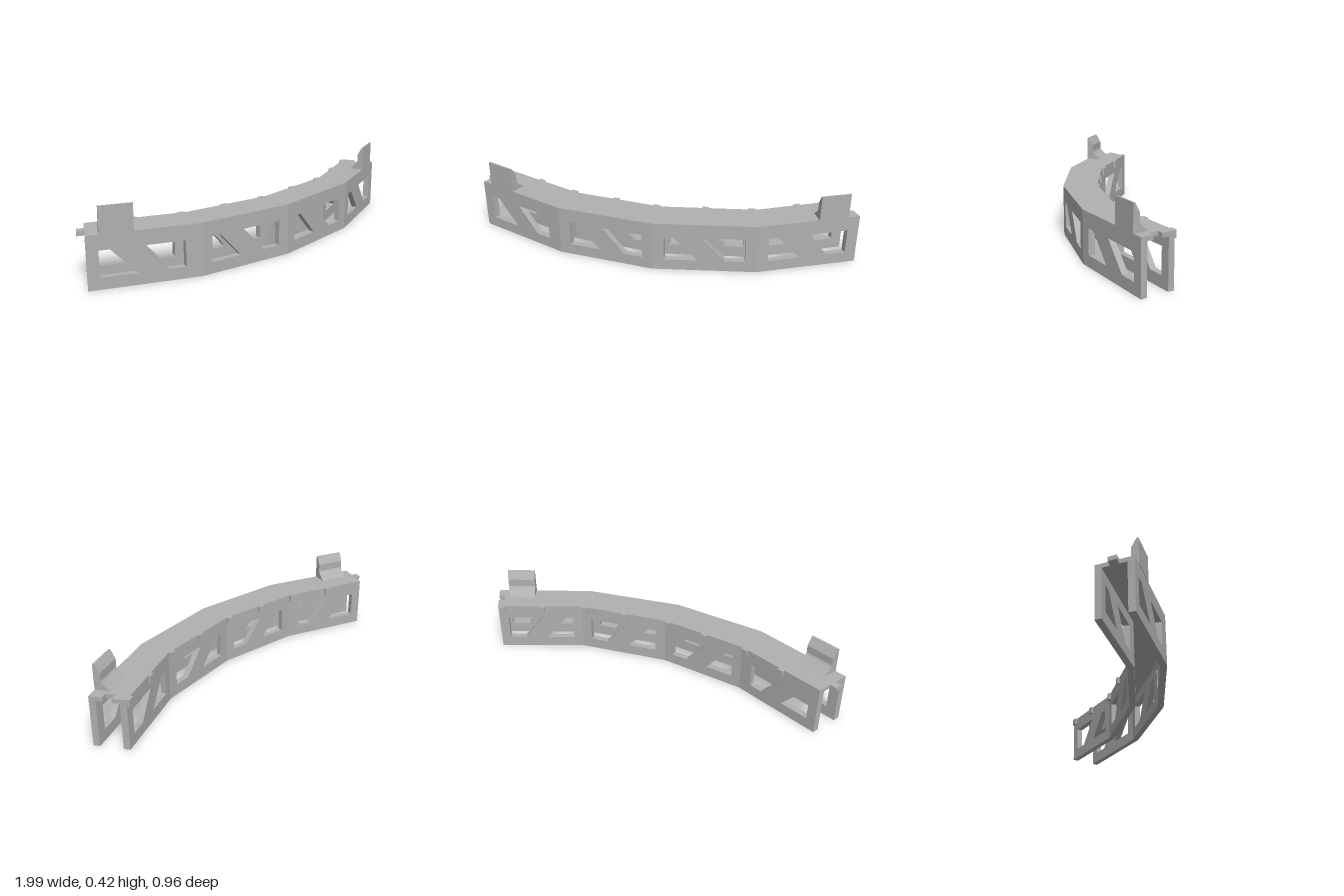
import * as THREE from 'three';

// Plan nodes [x, z] of the outer and inner edges of the curved span
const OUTER = [[-0.97, 0.482], [-0.40, 0.478], [0.12, 0.33], [0.60, 0.045], [0.993, -0.36]];
const INNER = [[-0.95, 0.287], [-0.43, 0.282], [0.05, 0.152], [0.50, -0.11], [0.84, -0.473]];
const SEGMENTS = 4;
const TOP = 0.285, DECK_BOTTOM = 0.262, WALL = 0.18;

const mix = (a, b, t) => a + (b - a) * t;

// Bends a geometry with x = fraction along a segment, z = fraction from inner to outer edge
function bend(geometry, seg) {
  const g = geometry.index ? geometry.toNonIndexed() : geometry;
  const p = g.attributes.position;
  for (let i = 0; i < p.count; i++) {
    const s = p.getX(i), t = p.getZ(i);
    const at = k => mix(
      mix(INNER[seg][k], INNER[seg + 1][k], s),
      mix(OUTER[seg][k], OUTER[seg + 1][k], s), t);
    p.setXYZ(i, at(0), p.getY(i), at(1));
  }
  g.computeVertexNormals();
  return g;
}

const polygon = (points, Type = THREE.Shape) => new Type(points.map(q => new THREE.Vector2(q[0], q[1])));

// Block between fractions along (s), heights (y) and fractions across (t)
function block(seg, s0, s1, y0, y1, t0, t1) {
  const g = new THREE.BoxGeometry(s1 - s0, y1 - y0, t1 - t0);
  g.translate((s0 + s1) / 2, (y0 + y1) / 2, (t0 + t1) / 2);
  return bend(g, seg);
}

// Side wall with two openings separated by a diagonal brace
function trussWall(seg, t0, t1) {
  const left = seg === 0 ? 0.105 : 0.11, right = seg === 0 ? 0.855 : 0.89;
  const lo = 0.065, hi = 0.204;
  const shape = polygon([[0, 0.003], [1, 0.003], [1, TOP], [0, TOP]]);
  shape.holes.push(
    polygon([[left, lo], [left, hi], [0.20, hi], [0.435, lo]], THREE.Path),
    polygon([[0.47, hi], [right, hi], [right, lo], [0.70, lo]], THREE.Path));
  const g = new THREE.ExtrudeGeometry(shape, { depth: t1 - t0, bevelEnabled: false });
  return bend(g.translate(0, 0, t0), seg);
}

// Upright guard with a stepped inner face
function guard(seg, s0, s1) {
  const shape = polygon([
    [0.58, TOP], [1.01, TOP], [1.01, 0.425], [0.96, 0.425],
    [0.82, 0.378], [0.82, 0.335], [0.79, 0.325],
  ]);
  const g = new THREE.ExtrudeGeometry(shape, { depth: s1 - s0, bevelEnabled: false });
  g.rotateY(-Math.PI / 2).translate(s1, 0, 0);
  return bend(g, seg);
}

export function createModel() {
  const model = new THREE.Group();
  model.name = 'curvedTrussSpan';
  const grey = new THREE.MeshStandardMaterial({ color: 0xb0b0b0 });
  grey.name = 'plain grey';
  const add = (name, geometry) => {
    const mesh = new THREE.Mesh(geometry, grey);
    mesh.name = name;
    model.add(mesh);
  };

  for (let i = 0; i < SEGMENTS; i++) {
    const last = i === SEGMENTS - 1;
    add('outerWall', trussWall(i, 1 - WALL, 1));
    add('innerWall', trussWall(i, 0, WALL));
    add('deck', block(i, 0, last ? 0.93 : 1, DECK_BOTTOM, TOP, WALL, 1 - WALL));

    // Small lugs along the inner edge
    add('edgeLug', block(i, 0.44, 0.51, 0.245, TOP, -0.075, 0));
    add('edgeLug', block(i, last ? 0.91 : 0.92, last ? 0.99 : 0.995, 0.245, TOP, -0.075, 0));
  }

  // Deck strips either side of the joint notch
  add('deckNotchSide', block(3, 0.93, 1, DECK_BOTTOM, TOP, WALL, 0.38));
  add('deckNotchSide', block(3, 0.93, 1, DECK_BOTTOM, TOP, 0.64, 1 - WALL));

  // Joint tongue at the opposite end
  add('jointTongue', block(0, -0.07, 0, DECK_BOTTOM, TOP, 0.39, 0.62));

  add('rightGuard', guard(0, 0.115, 0.41));
  add('leftGuard', guard(3, 0.595, 0.885));

  return model;
}
